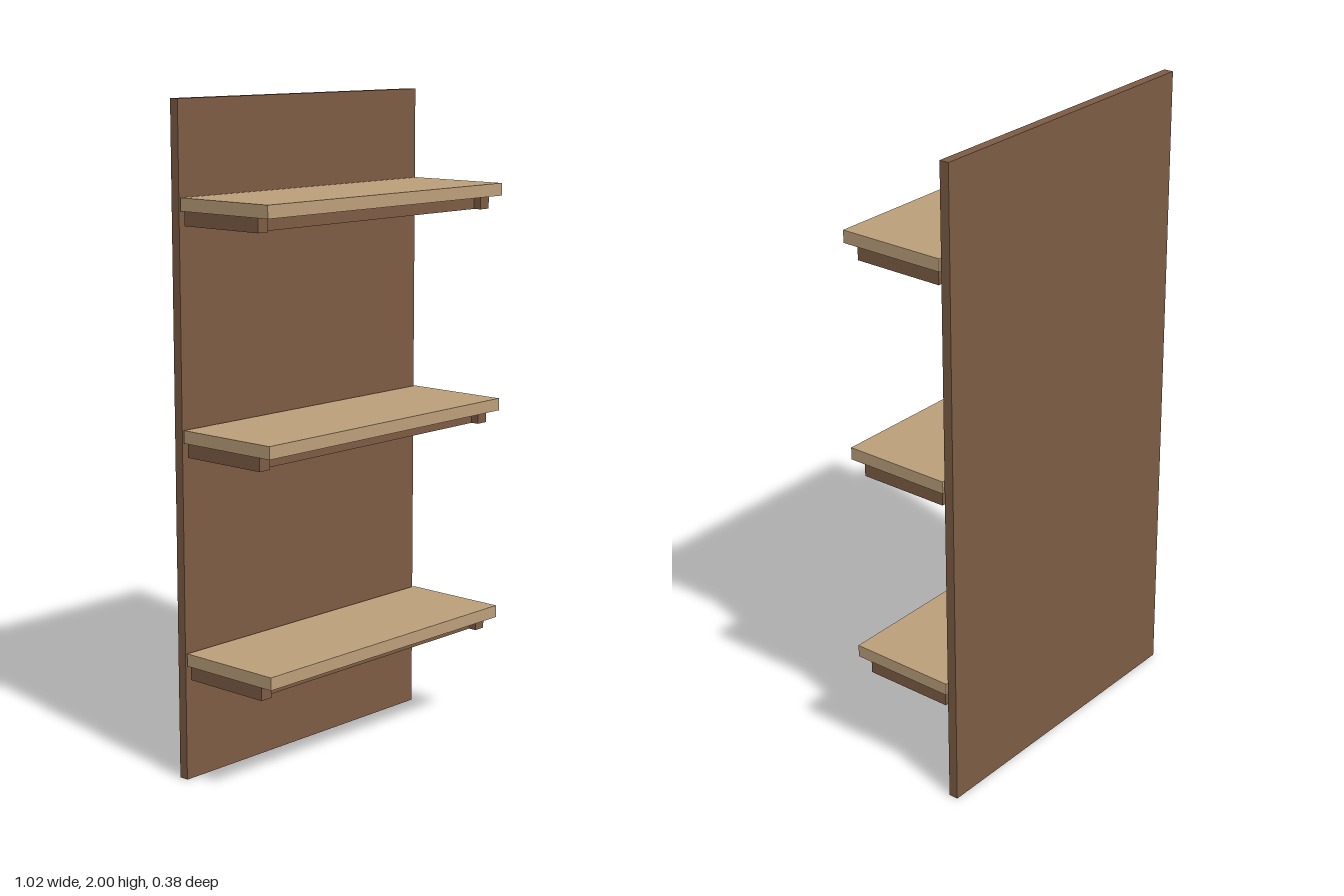
import * as THREE from 'three';

export function createModel() {
  const model = new THREE.Group();
  model.name = 'wallShelf';

  const darkWood = new THREE.MeshStandardMaterial({ color: 0x7d5c44 });
  darkWood.name = 'darkWood';
  const lightWood = new THREE.MeshStandardMaterial({ color: 0xbc9f7b });
  lightWood.name = 'lightWood';

  // Box given by its lower and upper corners
  function addBox(parent, name, material, [x0, y0, z0], [x1, y1, z1]) {
    const mesh = new THREE.Mesh(new THREE.BoxGeometry(x1 - x0, y1 - y0, z1 - z0), material);
    mesh.position.set((x0 + x1) / 2, (y0 + y1) / 2, (z0 + z1) / 2);
    mesh.name = name;
    parent.add(mesh);
  }

  // Upright back panel
  addBox(model, 'backPanel', darkWood, [-0.51, 0, -0.19], [0.51, 2, -0.16]);

  // Three shelves, each with a recessed support and two side brackets
  [0.31, 0.977, 1.644].forEach((y, i) => {
    const shelf = new THREE.Group();
    shelf.name = `shelf${i + 1}`;
    shelf.position.y = y;
    model.add(shelf);

    addBox(shelf, 'board', lightWood, [-0.51, 0.042, -0.153], [0.51, 0.08, 0.19]);
    addBox(shelf, 'support', darkWood, [-0.463, 0, -0.16], [0.463, 0.042, 0.12]);
    addBox(shelf, 'leftBracket', darkWood, [0.463, 0, -0.145], [0.503, 0.042, 0.145]);
    addBox(shelf, 'rightBracket', darkWood, [-0.503, 0, -0.145], [-0.463, 0.042, 0.145]);
  });

  return model;
}
